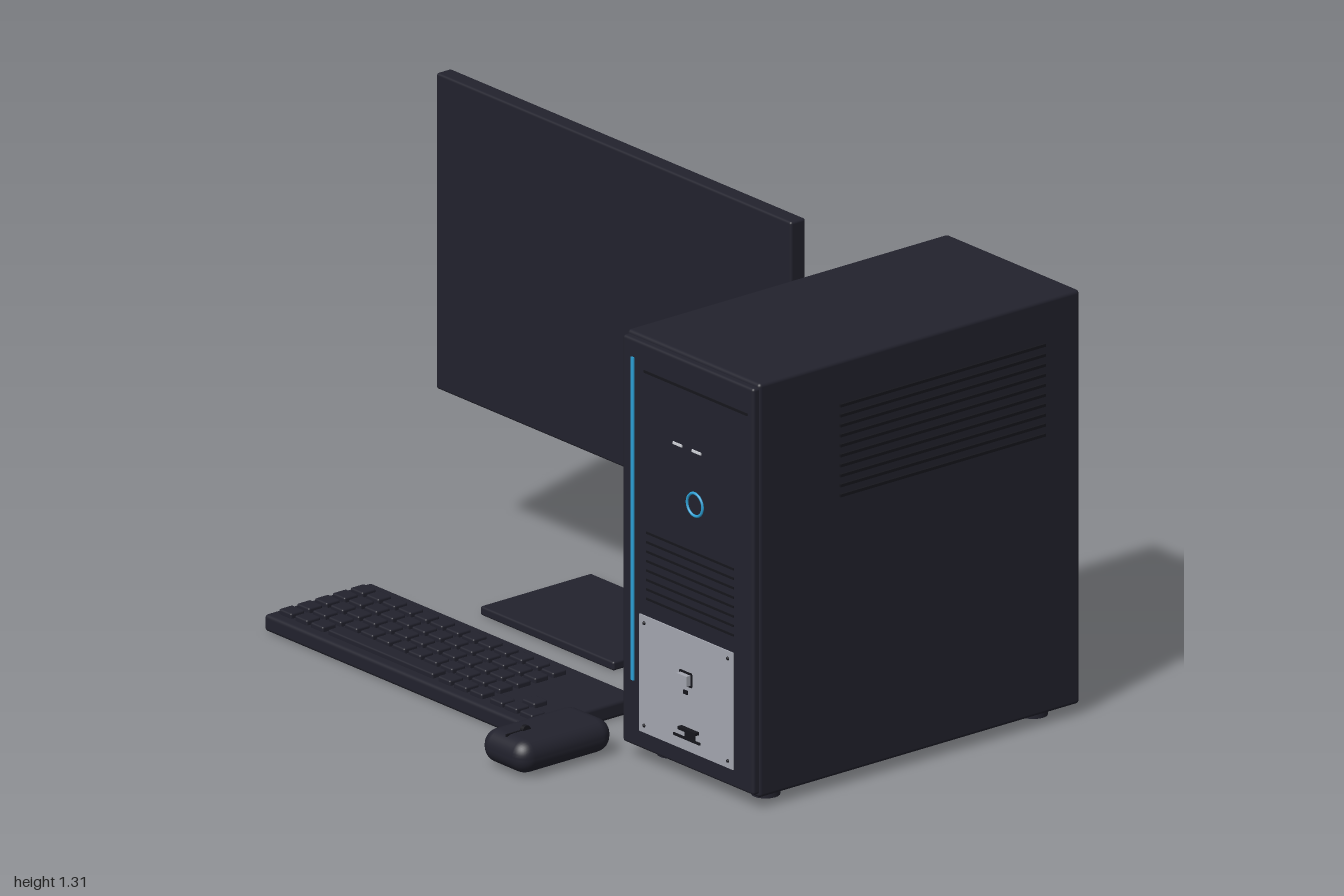
import * as THREE from 'three';
import { RoundedBoxGeometry } from 'three/addons/geometries/RoundedBoxGeometry.js';

export function createModel() {
  const root = new THREE.Group();
  root.name = 'desktopComputer';
  const mat = (name, color) => {
    const m = new THREE.MeshStandardMaterial({ color });
    m.name = name;
    return m;
  };
  const shell = mat('dark shell', 0x22222d);
  const black = mat('slot black', 0x16161c);
  const silver = mat('silver panel', 0xa3a6af);
  const pale = mat('pale light', 0xd2d4da);
  const blue = mat('blue accent', 0x2b9fd4);

  const group = (name) => {
    const g = new THREE.Group();
    g.name = name;
    root.add(g);
    return g;
  };
  const put = (parent, name, geo, m, x = 0, y = 0, z = 0) => {
    const mesh = new THREE.Mesh(geo, m);
    mesh.name = name;
    mesh.position.set(x, y, z);
    parent.add(mesh);
    return mesh;
  };
  // Box given by its limits on each axis, with rounded edges when r > 0
  const box = (parent, name, m, [x0, x1], [y0, y1], [z0, z1], r = 0) => {
    const s = [x1 - x0, y1 - y0, z1 - z0];
    const geo = r ? new RoundedBoxGeometry(...s, 4, r) : new THREE.BoxGeometry(...s);
    return put(parent, name, geo, m, (x0 + x1) / 2, (y0 + y1) / 2, (z0 + z1) / 2);
  };
  // Four thin bars around a rectangle on the tower front
  const frame = (parent, name, m, x, y, w, h, t, z) => {
    for (const s of [-1, 1]) {
      box(parent, name, m, [x - w / 2, x + w / 2], [y + s * h / 2 - t / 2, y + s * h / 2 + t / 2], z);
      box(parent, name, m, [x + s * w / 2 - t / 2, x + s * w / 2 + t / 2], [y - h / 2, y + h / 2], z);
    }
  };

  // Monitor
  const monitor = group('monitor');
  box(monitor, 'screen', shell, [-1, 0.423], [0.44, 1.31], [-0.265, -0.215], 0.007);
  box(monitor, 'rearHousing', shell, [-0.7, 0.12], [0.57, 1.11], [-0.35, -0.25], 0.035);
  box(monitor, 'standColumn', shell, [-0.35, -0.225], [0.015, 0.6], [-0.363, -0.315], 0.006);
  box(monitor, 'standBase', shell, [-0.555, -0.02], [0, 0.025], [-0.363, 0.01], 0.006);
  box(monitor, 'powerLight', blue, [0.355, 0.367], [0.452, 0.462], [-0.216, -0.212]);
  put(monitor, 'cable', new THREE.CylinderGeometry(0.009, 0.009, 0.515, 12), shell, -0.195, 0.278, -0.398);

  // Tower case
  const tower = group('tower');
  box(tower, 'case', shell, [0.46, 0.992], [0.03, 1.17], [-0.71, 0.368], 0.01);
  box(tower, 'frontPanel', shell, [0.463, 0.988], [0.04, 1.16], [0.35, 0.385], 0.008);
  for (const x of [0.535, 0.912])
    for (const z of [-0.62, 0.28])
      put(tower, 'foot', new THREE.CylinderGeometry(0.038, 0.038, 0.034, 20), shell, x, 0.017, z);
  for (let i = 0; i < 10; i++) {
    const y = 0.8 + i * 0.0275;
    box(tower, 'sideVent', black, [0.99, 0.998], [y - 0.004, y + 0.004], [-0.59, 0.1]);
  }
  for (let i = 0; i < 8; i++) {
    const y = 0.46 + i * 0.026;
    box(tower, 'frontVent', black, [0.56, 0.91], [y - 0.003, y + 0.003], [0.382, 0.387]);
  }

  // Front controls
  box(tower, 'driveSlot', black, [0.55, 0.965], [1.08, 1.087], [0.382, 0.387]);
  box(tower, 'lightStrip', blue, [0.5, 0.511], [0.22, 1.11], [0.382, 0.388]);
  for (const x of [0.686, 0.762])
    box(tower, 'statusLight', pale, [x - 0.018, x + 0.018], [0.918, 0.925], [0.382, 0.388]);
  put(tower, 'powerRing', new THREE.TorusGeometry(0.031, 0.004, 8, 40), blue, 0.755, 0.775, 0.386);

  // Silver port plate
  box(tower, 'portPlate', silver, [0.535, 0.911], [0.09, 0.412], [0.382, 0.389]);
  for (const x of [0.555, 0.891])
    for (const y of [0.11, 0.392])
      put(tower, 'screw', new THREE.SphereGeometry(0.005, 10, 8), black, x, y, 0.389);
  frame(tower, 'portFrame', black, 0.723, 0.288, 0.046, 0.034, 0.006, [0.386, 0.391]);
  box(tower, 'portBlock', silver, [0.703, 0.743], [0.274, 0.302], [0.385, 0.405]);
  box(tower, 'portMark', black, [0.715, 0.731], [0.245, 0.256], [0.386, 0.392]);
  box(tower, 'connectorTop', black, [0.705, 0.775], [0.147, 0.155], [0.386, 0.403]);
  box(tower, 'connectorBase', black, [0.675, 0.78], [0.12, 0.127], [0.386, 0.392]);
  box(tower, 'connectorStem', black, [0.72, 0.76], [0.127, 0.147], [0.386, 0.392]);

  // Keyboard
  const keyboard = group('keyboard');
  box(keyboard, 'keyboardBody', shell, [-0.825, 0.247], [0, 0.046], [0.15, 0.51], 0.01);
  const key = (x, z, w = 0.05) =>
    box(keyboard, 'key', shell, [x - w / 2, x + w / 2], [0.04, 0.06], [z - 0.023, z + 0.023], 0.005);
  const col = (i) => -0.777 + i * 0.0637;
  const row = (j) => 0.217 + j * 0.06;
  for (let j = 0; j < 4; j++) for (let i = 0; i < 13; i++) key(col(i), row(j));
  for (const i of [0, 1, 2, 10, 11, 12]) key(col(i), row(4));
  key(-0.395, row(4), 0.42);
  for (const x of [0.067, 0.126, 0.188]) key(x, row(4));
  key(0.126, row(3));

  // Mouse
  const mouse = group('mouse');
  box(mouse, 'mouseBody', shell, [0.271, 0.45], [0.008, 0.1], [0.395, 0.71], 0.043);
  box(mouse, 'buttonSeam', black, [0.358, 0.362], [0.095, 0.102], [0.63, 0.69]);
  const wheel = put(mouse, 'scrollWheel', new THREE.CylinderGeometry(0.014, 0.014, 0.012, 16), black, 0.36, 0.098, 0.625);
  wheel.rotation.z = Math.PI / 2;

  return root;
}
